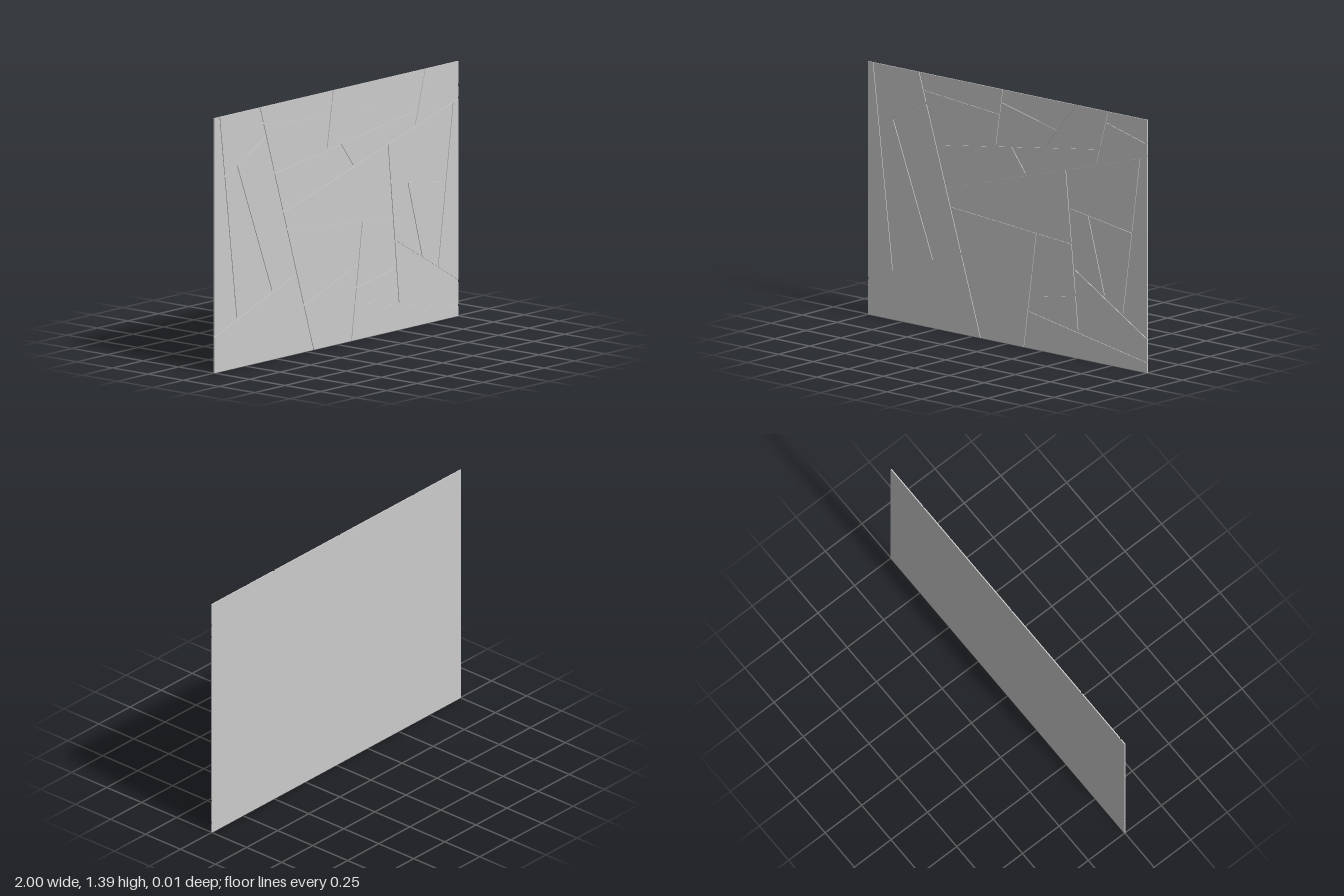
import * as THREE from 'three';

const W = 2, H = 1.39;          // panel size
const THICK = 0.006, BACK = 0.002; // total thickness, backing thickness
const GAP = 0.012;              // groove width

// Groove centre lines: shallow ones run left to right, steep ones top to bottom,
// so the positive side of each is "above" or "right of" it.
const CUTS = {
  A: [-0.63, 1.39, -0.19, 0],
  B: [-1, 0.2, -0.33, 0.44],
  C: [-0.96, 1.39, -0.82, 0.27],
  D: [-0.91, 1.06, -0.58, 1.23],
  E: [-0.82, 1.11, -0.53, 0.37],
  F: [-0.44, 0.79, 1, 1.19],
  G: [-0.51, 1.015, 0.67, 1.18],
  H: [0.725, 1.39, 0.64, 1.09],
  I: [0.72, 1.33, 1, 1.26],
  J: [0.03, 1.09, 0.13, 0.96],
  K: [-0.03, 1.39, -0.08, 1.08],
  L: [-0.59, 1.3, -0.06, 1.255],
  M: [0.5, 1.39, 0.28, 1.13],
  N: [-0.03, 1.32, 0.37, 1.23],
  O: [0.42, 1.03, 0.51, 0.15],
  P: [0.16, 0.205, 1, 0.06],
  Q: [0.21, 0.64, 0.12, 0],
  R: [-0.4, 0.69, 0.46, 0.625],
  S: [0.48, 0.49, 1, 0.19],
  T: [0.955, 1.18, 0.83, 0.29],
  U: [0.44, 0.82, 0.89, 0.755],
  V: [0.58, 0.8, 0.7, 0.37],
  W: [-0.26, 0.26, 0.18, 0.42],
  X: [0.18, 0.29, 0.48, 0.345],
};

// Each tile lists the grooves bounding it: capital = above/right, small = below/left
const TILES = [
  'ab', 'aBc', 'aBCD', 'aBCde', 'aBCdE',               // left strip
  'AFHI', 'AFHi', 'AFhgj', 'AFhgJ',                    // upper right band
  'AhGkL', 'AhGkl', 'hGKM', 'hGKmN', 'hGKmn',          // top band
  'AfRo', 'fOtU', 'OtuSv', 'OtuSV', 'fTS', 'OsP',      // middle and right
  'pQ', 'ArqW', 'Arqw', 'roPQX', 'roPQx',              // bottom and pinwheel core
];

// Keep the part of a convex polygon on one side of a groove, half a gap back
function clip(poly, [x1, y1, x2, y2], sign) {
  const len = Math.hypot(x2 - x1, y2 - y1);
  const nx = -(y2 - y1) / len, ny = (x2 - x1) / len;
  const dist = (p) => sign * ((p.x - x1) * nx + (p.y - y1) * ny) - GAP / 2;
  const out = [];
  poly.forEach((p, i) => {
    const q = poly[(i + 1) % poly.length];
    const dp = dist(p), dq = dist(q);
    if (dp >= 0) out.push(p);
    if ((dp >= 0) !== (dq >= 0)) out.push(p.clone().lerp(q, dp / (dp - dq)));
  });
  return out;
}

export function createModel() {
  const group = new THREE.Group();
  group.name = 'crackedStonePanel';
  const material = new THREE.MeshStandardMaterial({ color: 0xcccccc, flatShading: true });

  // Backing sheet that forms the groove floors
  const backing = new THREE.Mesh(new THREE.BoxGeometry(W, H, BACK), material);
  backing.name = 'backing';
  backing.position.set(0, H / 2, (BACK - THICK) / 2);
  group.add(backing);

  // Raised tiles cut from the full rectangle
  const sheet = [[-1, 0], [1, 0], [1, H], [-1, H]].map(([x, y]) => new THREE.Vector2(x, y));
  const tiles = new THREE.Group();
  tiles.name = 'tiles';
  TILES.forEach((code, i) => {
    let poly = sheet;
    for (const c of code) {
      const cut = c.toUpperCase();
      poly = clip(poly, CUTS[cut], c === cut ? 1 : -1);
    }
    const geometry = new THREE.ExtrudeGeometry(new THREE.Shape(poly), {
      depth: THICK - BACK, bevelEnabled: false,
    });
    const tile = new THREE.Mesh(geometry, material);
    tile.name = `tile${i + 1}`;
    tile.position.z = BACK - THICK / 2;
    tiles.add(tile);
  });
  group.add(tiles);
  return group;
}
